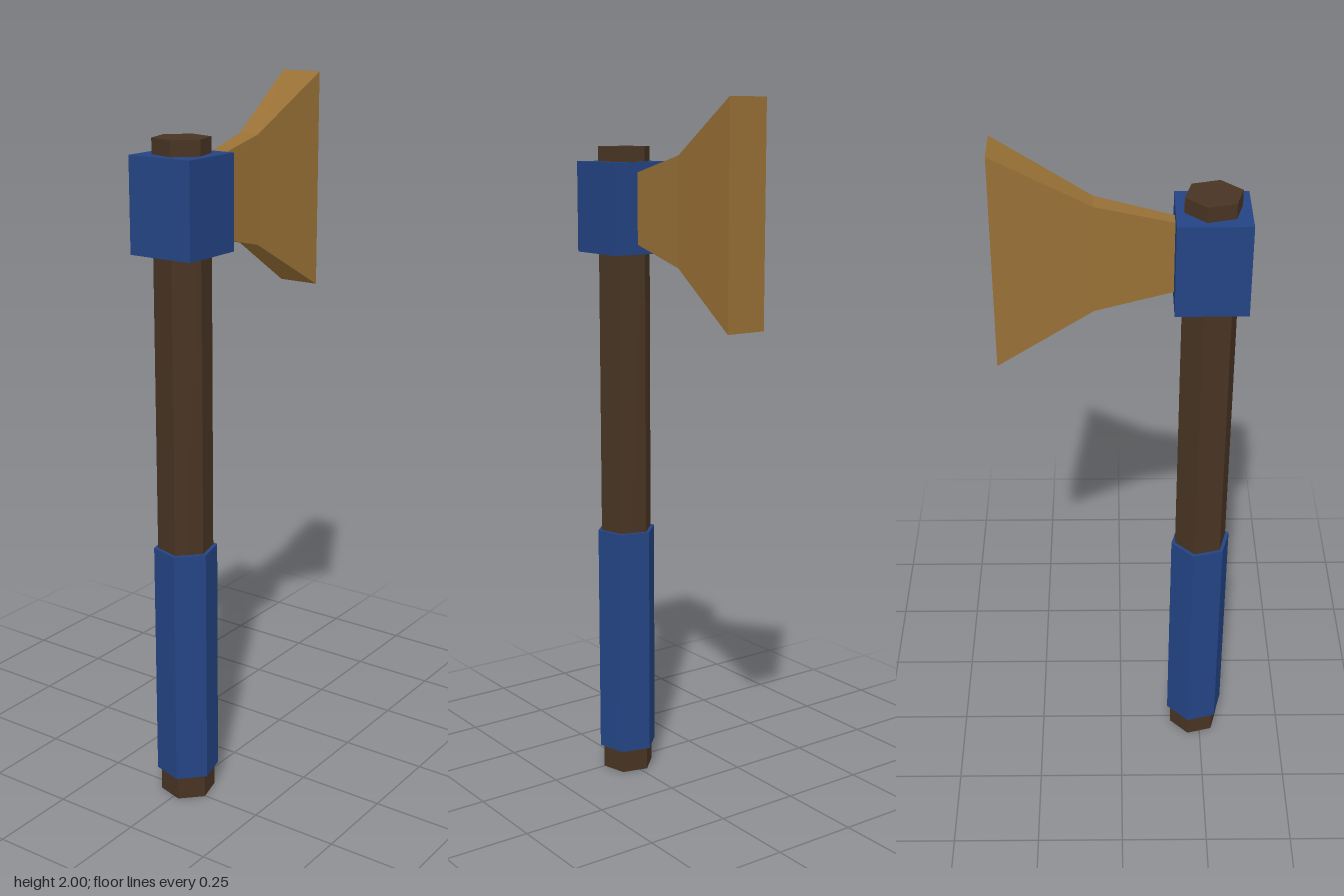
import * as THREE from 'three';

const wood = new THREE.MeshStandardMaterial({ name: 'dark wood', color: 0x483423 });
const blue = new THREE.MeshStandardMaterial({ name: 'blue wrap', color: 0x234484 });
const bronze = new THREE.MeshStandardMaterial({ name: 'bronze', color: 0x987036 });

const HANDLE_X = -0.232;

// Give every face its own normal for a faceted look
function faceted(geometry) {
  const flat = geometry.toNonIndexed();
  flat.computeVertexNormals();
  return flat;
}

function part(name, geometry, material, x, y) {
  const mesh = new THREE.Mesh(faceted(geometry), material);
  mesh.name = name;
  mesh.position.set(x, y, -0.001);
  return mesh;
}

// Upright hexagonal bar between two heights
function hexBar(name, radius, bottom, top, material) {
  const geometry = new THREE.CylinderGeometry(radius, radius, top - bottom, 6);
  geometry.rotateY(-Math.PI / 12);
  return part(name, geometry, material, HANDLE_X, (bottom + top) / 2);
}

// Flaring blade: a box with three cross-sections [x, half height, half thickness]
function bladeGeometry() {
  const sections = [[-0.136, 0.1, 0.02], [0.07, 0.15, 0.03], [0.327, 0.3, 0.06]];
  const geometry = new THREE.BoxGeometry(2, 2, 2, 2, 1, 1);
  const p = geometry.attributes.position;
  for (let i = 0; i < p.count; i++) {
    const [x, h, t] = sections[Math.round(p.getX(i)) + 1];
    p.setXYZ(i, x, p.getY(i) * h, p.getZ(i) * t);
  }
  return geometry;
}

export function createModel() {
  const axe = new THREE.Group();
  axe.name = 'axe';
  axe.add(
    hexBar('handle', 0.077, 0, 1.87, wood),
    hexBar('grip', 0.088, 0.07, 0.753, blue),
    part('collar', new THREE.BoxGeometry(0.192, 0.256, 0.192), blue, HANDLE_X, 1.7),
    part('blade', bladeGeometry(), bronze, 0, 1.7),
  );
  return axe;
}
